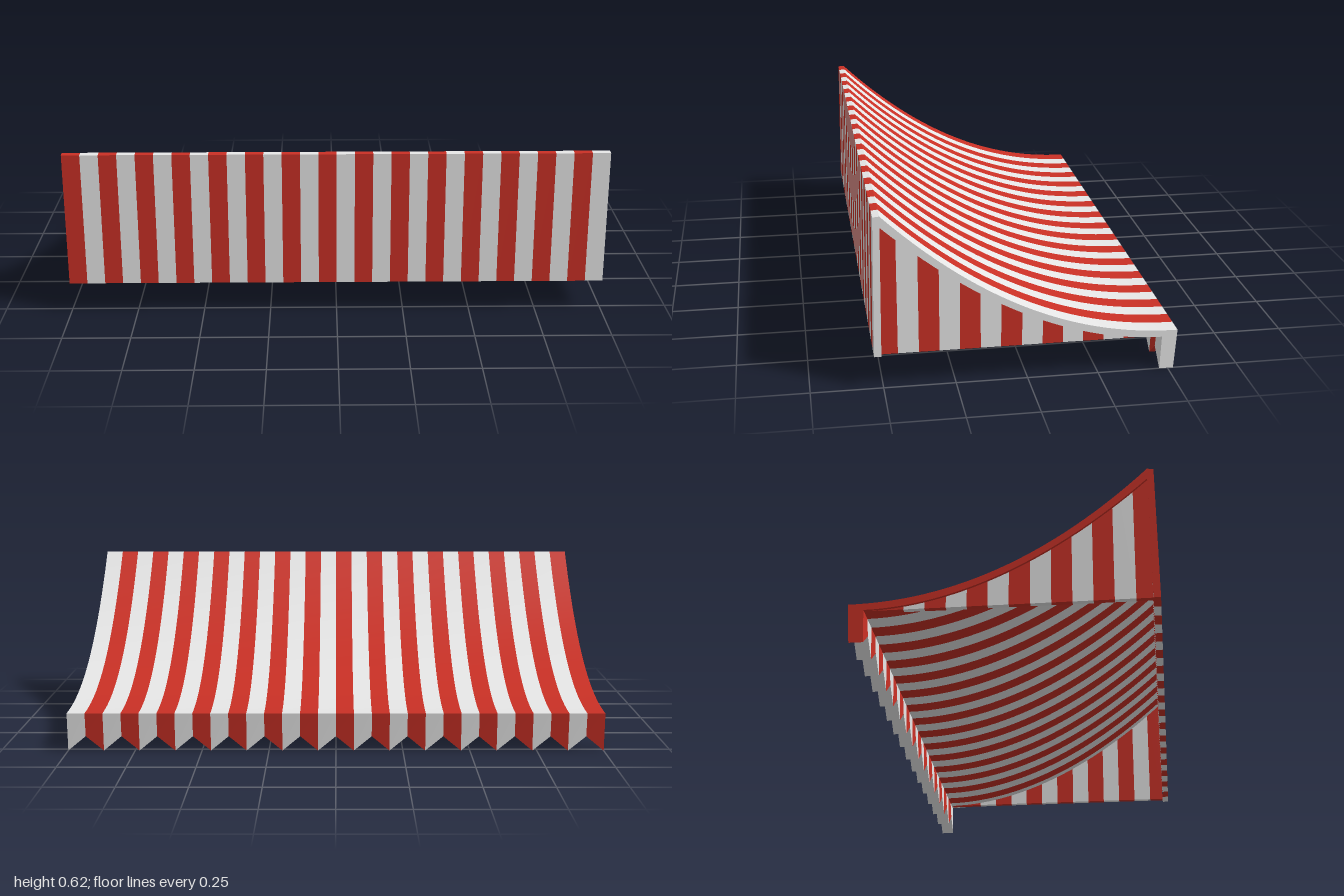
import * as THREE from 'three';
import { toCreasedNormals } from 'three/addons/utils/BufferGeometryUtils.js';

// Heights of the sagging canopy, upper and lower skin
const upperY = z => 0.145 + 0.48 * Math.pow(Math.max(0, (z + 0.53) / 1.03), 2.1);
const lowerY = z => 0.122 + 0.463 * Math.pow(Math.max(0, (z + 0.475) / 0.975), 1.93);

const sample = (fn, z0, z1, n) => Array.from({ length: n + 1 }, (_, i) => {
  const z = z0 + (z1 - z0) * i / n;
  return [z, fn(z)];
});

// Extrude a [z, y] outline along x
function slab(outline, x0, width) {
  const shape = new THREE.Shape(outline.map(([z, y]) => new THREE.Vector2(-z, y)));
  const geo = new THREE.ExtrudeGeometry(shape, { depth: width, bevelEnabled: false });
  geo.rotateY(Math.PI / 2);
  geo.translate(x0, 0, 0);
  return geo;
}

export function createModel() {
  const group = new THREE.Group();
  const red = new THREE.MeshStandardMaterial({ color: 0xc93025 });
  red.name = 'red cloth';
  const white = new THREE.MeshStandardMaterial({ color: 0xe6e6e6 });
  white.name = 'white cloth';

  const add = (geo, mat, name, parent) => {
    const mesh = new THREE.Mesh(toCreasedNormals(geo, 0.5), mat);
    mesh.name = name;
    parent.add(mesh);
  };

  // Outline of wall sheet, canopy and hanging valance in one piece
  const profile = [
    [0.53, 0.118], [0.523, 0.623],
    ...sample(upperY, 0.5, -0.53, 28),
    [-0.52, 0], [-0.47, 0],
    ...sample(lowerY, -0.475, 0.5, 28),
    [0.505, 0.118],
  ];

  // Striped canopy: the valance tips sit on every second seam
  const canopy = new THREE.Group();
  canopy.name = 'canopy';
  const count = 30, width = 2 / count;
  for (let i = 0; i < count; i++) {
    const x0 = -1 + i * width;
    const geo = slab(profile, x0, width);
    const notchX = i % 2 ? x0 : x0 + width;
    const pos = geo.attributes.position;
    for (let v = 0; v < pos.count; v++) {
      if (pos.getY(v) < 0.03 && Math.abs(pos.getX(v) - notchX) < 0.001) pos.setY(v, 0.055);
    }
    add(geo, i % 2 ? white : red, 'canopyStripe', canopy);
  }
  group.add(canopy);

  // Striped side panels, set in slightly from the canopy ends
  const cuts = [0.504, 0.448, 0.376, 0.305, 0.234, 0.163, 0.092, 0.019, -0.053,
    -0.124, -0.195, -0.268, -0.34, -0.47];
  for (const [name, x0] of [['leftSide', 0.97], ['rightSide', -0.99]]) {
    const side = new THREE.Group();
    side.name = name;
    for (let i = 0; i < cuts.length - 1; i++) {
      const a = cuts[i], b = cuts[i + 1];
      const outline = [[b, 0.122], [a, 0.122], ...sample(z => lowerY(z) + 0.003, a, b, 5)];
      add(slab(outline, x0, 0.02), i % 2 ? white : red, 'sideStripe', side);
    }
    group.add(side);
  }
  return group;
}
